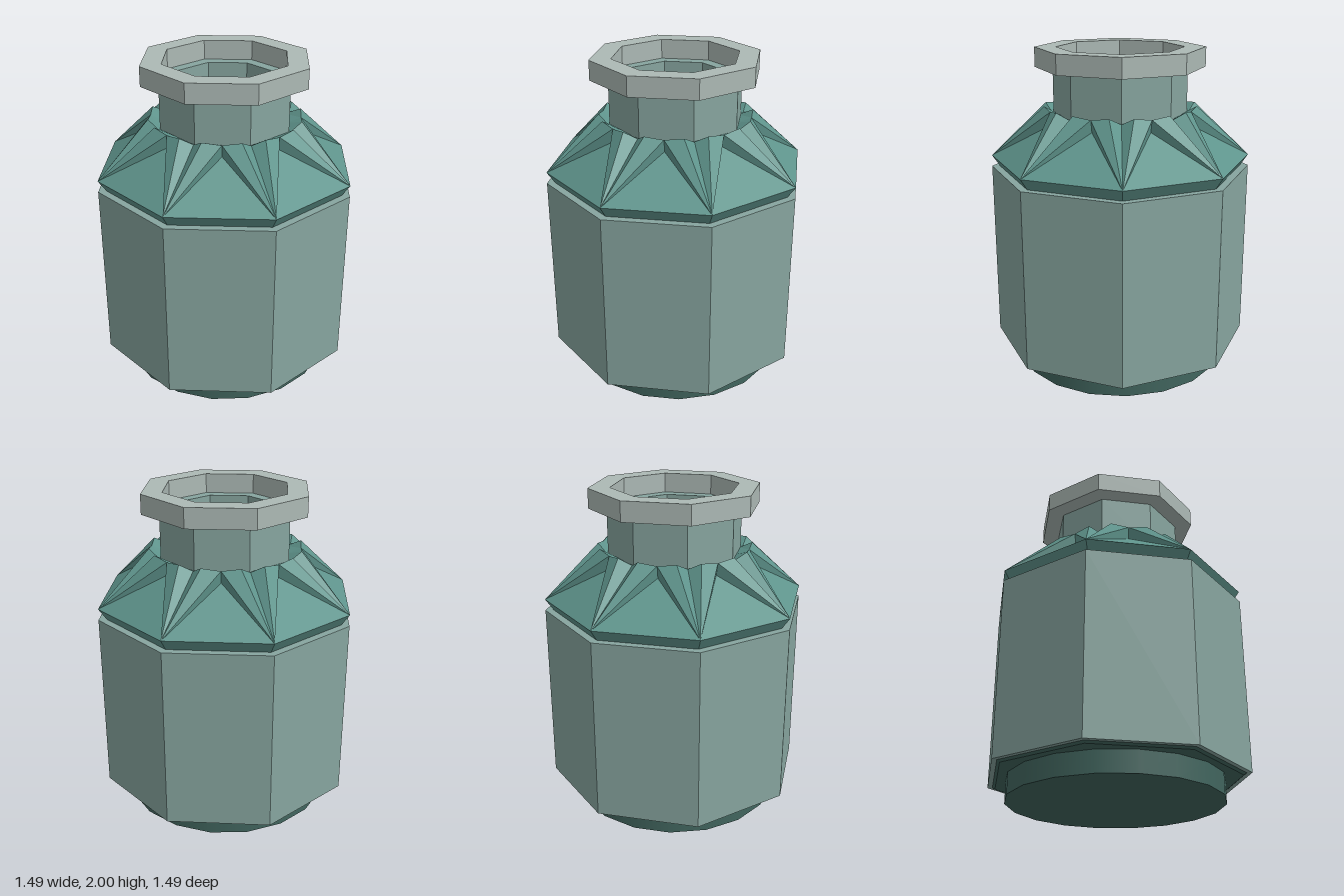
import * as THREE from 'three';

const SIDES = 8;
const HALF = Math.PI / SIDES;

const COLORS = {
  body: 0x87a59f,
  rim: 0xacb9b5,
  cover: 0x5f948c,
  base: 0x41655e,
  contents: 0x8f8b8b,
};

function addMesh(group, name, geometry, color, flat = true) {
  const material = new THREE.MeshStandardMaterial({ color, flatShading: flat });
  const mesh = new THREE.Mesh(geometry, material);
  mesh.name = name;
  group.add(mesh);
  return mesh;
}

// Eight-sided solid of revolution; profile radii are measured to the flats
function octagonLathe(profile) {
  const points = profile.map(([r, y]) => new THREE.Vector2(r / Math.cos(HALF), y));
  const geometry = new THREE.LatheGeometry(points, SIDES, HALF).toNonIndexed();
  geometry.computeVertexNormals();
  return geometry;
}

// Point at a given angle from the front, radius and height
function polar(angle, r, y) {
  return [r * Math.sin(angle), y, r * Math.cos(angle)];
}

// Folded shoulder: one sector per corner, with a gathered, jagged upper edge
function foldedCover() {
  const positions = [];
  const tri = (...corners) => corners.forEach((p) => positions.push(...p));
  const quad = (a, b, c, d) => { tri(a, b, c); tri(a, c, d); };
  const tooth = 0.15;

  for (let i = 0; i < SIDES; i++) {
    const mid = i * 2 * HALF;
    const a = mid + HALF;
    const next = a + HALF;

    const corner = polar(a, 0.805, 1.33);
    const cornerBefore = polar(a - 2 * HALF, 0.805, 1.33);
    const valleyL = polar(mid, 0.44, 1.56);
    const valleyR = polar(next, 0.44, 1.56);
    const creaseL = polar(mid, 0.455, 1.635);
    const creaseR = polar(next, 0.455, 1.635);
    const toothL = polar(a - tooth, 0.47, 1.65);
    const toothR = polar(a + tooth, 0.47, 1.65);
    const dip = polar(a, 0.425, 1.61);

    // Sloping panel between two corners
    tri(cornerBefore, corner, valleyL);
    // Pleats fanning out of the corner
    tri(corner, creaseL, valleyL);
    tri(corner, toothL, creaseL);
    tri(corner, dip, toothL);
    tri(corner, toothR, dip);
    tri(corner, creaseR, toothR);
    tri(corner, valleyR, creaseR);

    // Upper edge tucked in against the neck
    const innerL = polar(mid, 0.37, 1.6);
    const innerA = polar(a, 0.4, 1.6);
    const innerR = polar(next, 0.37, 1.6);
    quad(creaseL, toothL, innerA, innerL);
    tri(toothL, dip, innerA);
    tri(dip, toothR, innerA);
    quad(toothR, creaseR, innerR, innerA);

    // Undercut hem resting on the body
    quad(polar(a - 2 * HALF, 0.757, 1.26), polar(a, 0.757, 1.26), corner, cornerBefore);
  }

  const geometry = new THREE.BufferGeometry();
  geometry.setAttribute('position', new THREE.Float32BufferAttribute(positions, 3));
  geometry.computeVertexNormals();
  return geometry;
}

export function createModel() {
  const jar = new THREE.Group();
  jar.name = 'jar';

  // Round foot
  const base = addMesh(jar, 'base', new THREE.CylinderGeometry(0.655, 0.655, 0.14, 18), COLORS.base, false);
  base.position.y = 0.07;

  // Thin tray between foot and body
  addMesh(jar, 'baseTray', octagonLathe([[0, 0.13], [0.7, 0.13], [0.72, 0.145]]), COLORS.base);

  // Octagonal body with a narrow ledge on top
  addMesh(jar, 'body', octagonLathe([[0, 0.142], [0.745, 0.142], [0.745, 1.26], [0.29, 1.26]]), COLORS.body);

  // Folded shoulder
  const cover = addMesh(jar, 'foldedCover', foldedCover(), COLORS.cover);
  cover.material.side = THREE.DoubleSide;

  // Hollow neck
  addMesh(jar, 'neck', octagonLathe([[0.38, 1.56], [0.38, 1.88], [0.29, 1.88], [0.29, 1.56]]), COLORS.body);

  // Overhanging rim
  addMesh(jar, 'rim', octagonLathe([[0.36, 1.88], [0.48, 1.88], [0.48, 2], [0.36, 2], [0.36, 1.88]]), COLORS.rim);

  // Tapered throat and the floor seen through the opening
  addMesh(jar, 'throat', octagonLathe([[0.292, 1.56], [0.275, 1.26]]), COLORS.cover);
  addMesh(jar, 'contents', octagonLathe([[0.3, 1.262], [0, 1.262]]), COLORS.contents);

  return jar;
}
